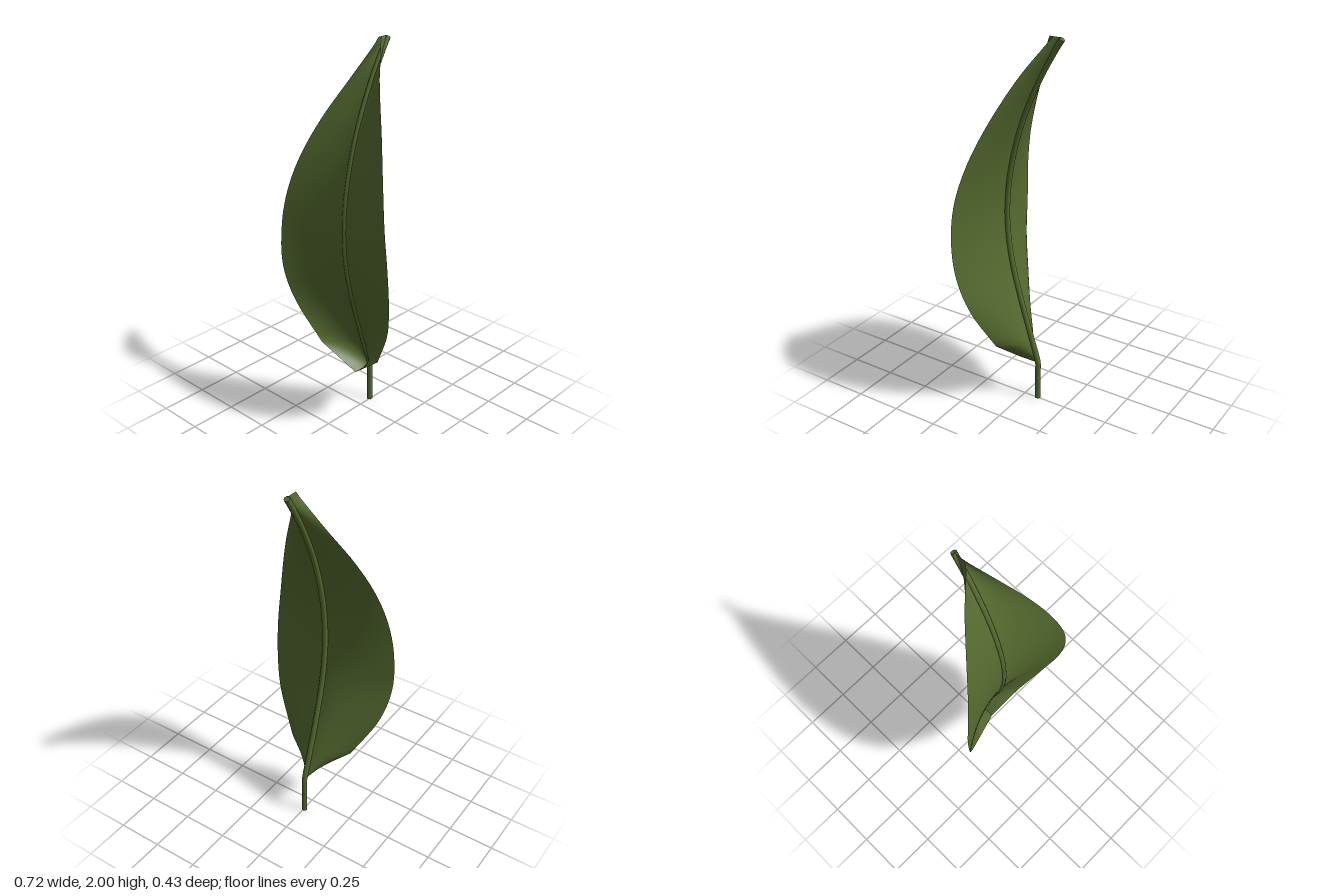
import * as THREE from 'three';

// Stations up the leaf: y, half width, rib z, left edge z, right edge z
const STATIONS = [
  [0.22, 0, -0.08, 0.035, 0.035],
  [0.37, 0.18, -0.035, 0.11, 0.065],
  [0.6, 0.3, 0.035, 0.178, 0.13],
  [0.8, 0.35, 0.085, 0.215, 0.178],
  [1.0, 0.357, 0.11, 0.213, 0.2],
  [1.2, 0.332, 0.103, 0.195, 0.195],
  [1.4, 0.28, 0.067, 0.147, 0.15],
  [1.6, 0.203, 0.005, 0.065, 0.075],
  [1.8, 0.104, -0.085, -0.038, -0.02],
  [1.95, 0.022, -0.17, -0.105, -0.115],
  [2.0, 0, -0.2, -0.13, -0.15],
];
const RIB_X = -0.004;

// Straight first step at the base, then a smooth curve to the tip
function sampleCurve(points, steps = 48) {
  const upper = new THREE.CatmullRomCurve3(points.slice(1), false, 'catmullrom', 0.5);
  const rows = [0, 1, 2, 3].map((i) => points[0].clone().lerp(points[1], i / 4));
  return rows.concat(upper.getPoints(steps));
}

// One half of the blade, swept between the rib and its outer edge
function halfBlade(side, material) {
  const across = 12;
  const rib = sampleCurve(STATIONS.map(([y, , z]) => new THREE.Vector3(RIB_X, y, z + 0.006)));
  const edge = sampleCurve(STATIONS.map(([y, w, , zl, zr]) =>
    new THREE.Vector3(w ? side * w : RIB_X, y, side < 0 ? zl : zr)));
  const positions = [];
  const index = [];
  rib.forEach((r, i) => {
    for (let j = 0; j <= across; j++) {
      const u = j / across;
      positions.push(
        THREE.MathUtils.lerp(r.x, edge[i].x, u),
        THREE.MathUtils.lerp(r.y, edge[i].y, u),
        THREE.MathUtils.lerp(r.z, edge[i].z, Math.pow(u, 1.8)),
      );
      if (i && j) {
        const d = i * (across + 1) + j;
        const c = d - 1, b = d - across - 1, a = b - 1;
        if (side > 0) index.push(a, b, d, a, d, c);
        else index.push(a, d, b, a, c, d);
      }
    }
  });
  const geometry = new THREE.BufferGeometry();
  geometry.setAttribute('position', new THREE.Float32BufferAttribute(positions, 3));
  geometry.setIndex(index);
  geometry.computeVertexNormals();
  const mesh = new THREE.Mesh(geometry, material);
  mesh.name = side > 0 ? 'leftBlade' : 'rightBlade';
  return mesh;
}

export function createModel() {
  const green = new THREE.MeshStandardMaterial({ color: 0x556b2f, side: THREE.DoubleSide });
  green.name = 'leafGreen';
  const leaf = new THREE.Group();
  leaf.name = 'leaf';
  leaf.add(halfBlade(1, green), halfBlade(-1, green));

  // Stem and midrib in one bent tube
  const path = new THREE.CatmullRomCurve3([
    new THREE.Vector3(RIB_X, 0, -0.08),
    new THREE.Vector3(RIB_X, 0.19, -0.08),
    ...STATIONS.slice(0, -1).map(([y, , z]) => new THREE.Vector3(RIB_X, y, z)),
    new THREE.Vector3(RIB_X, 1.992, -0.197),
  ]);
  const radius = 0.015;
  const stem = new THREE.Mesh(new THREE.TubeGeometry(path, 80, radius, 10), green);
  stem.name = 'stemAndMidrib';
  leaf.add(stem);

  // Closed ends of the tube
  [0, 1].forEach((t) => {
    const cap = new THREE.Mesh(new THREE.CircleGeometry(radius, 10), green);
    const out = path.getTangentAt(t).multiplyScalar(t ? 1 : -1);
    cap.position.copy(path.getPointAt(t));
    cap.quaternion.setFromUnitVectors(new THREE.Vector3(0, 0, 1), out);
    cap.name = t ? 'midribTip' : 'stemEnd';
    leaf.add(cap);
  });
  return leaf;
}
